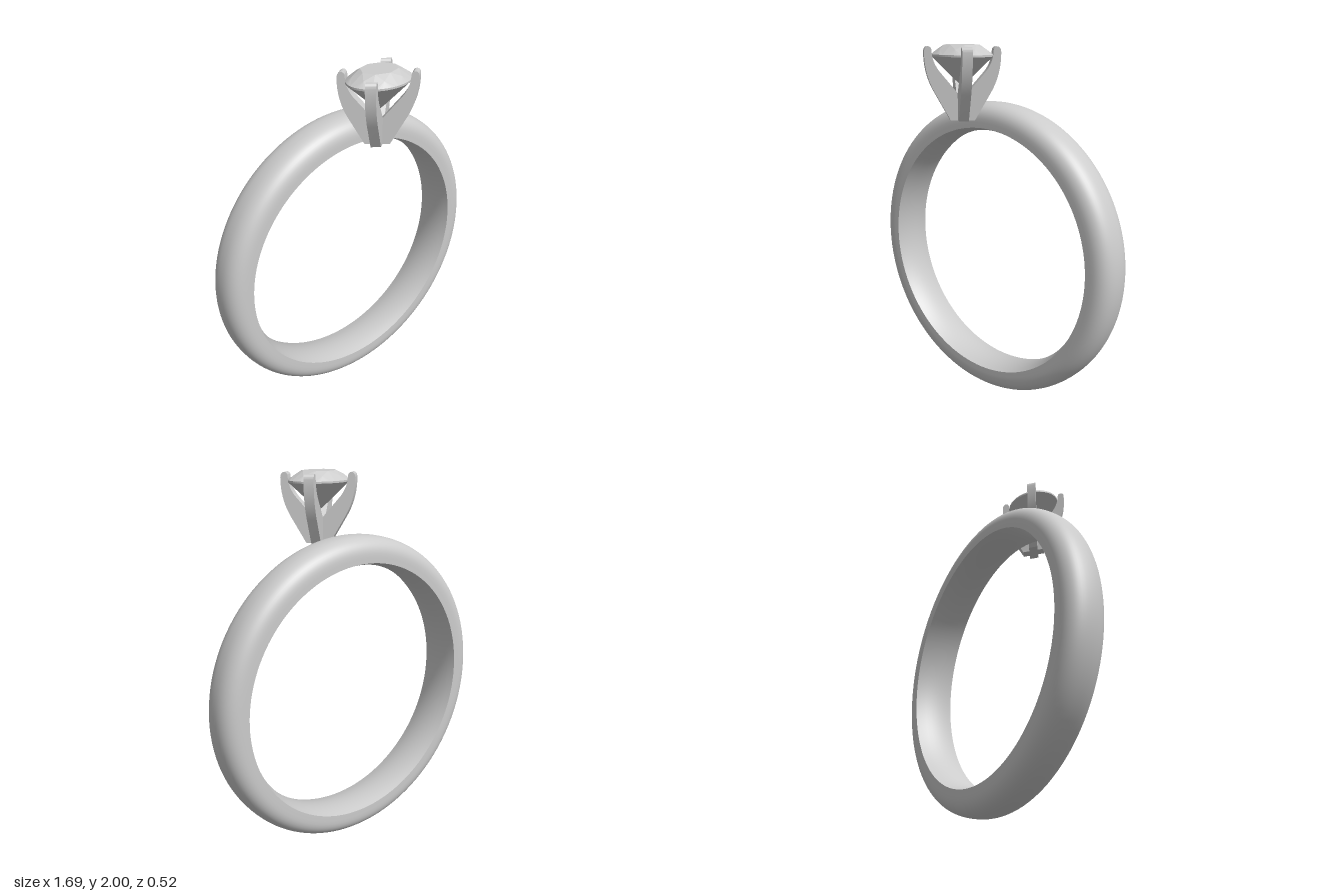
import * as THREE from 'three';
import { toCreasedNormals } from 'three/addons/utils/BufferGeometryUtils.js';

const grey = new THREE.MeshStandardMaterial({ color: 0xcccccc });
const facet = new THREE.MeshStandardMaterial({ color: 0xcccccc, flatShading: true });

function named(name, geometry, material = grey) {
  const mesh = new THREE.Mesh(geometry, material);
  mesh.name = name;
  return mesh;
}

// Band: domed outside, sharp edges at the bore, slightly convex inside
function bandGeometry() {
  const half = 0.116, profile = [new THREE.Vector2(0.71, -half)];
  const soft = v => Math.sign(v) * Math.pow(Math.abs(v), 0.82);
  for (let i = 0; i <= 24; i++) {
    const t = Math.PI * i / 24;
    profile.push(new THREE.Vector2(0.74 + 0.105 * soft(Math.sin(t)), -half * soft(Math.cos(t))));
  }
  for (let i = 0; i <= 8; i++) {
    const s = 1 - i / 4;
    profile.push(new THREE.Vector2(0.688 + 0.022 * s * s, half * s));
  }
  const geo = new THREE.LatheGeometry(profile, 128).rotateX(Math.PI / 2);
  return toCreasedNormals(geo, Math.PI / 6);
}

// Prong: curved flat bar, drawn as radius against height
function prongGeometry() {
  const shape = new THREE.Shape();
  shape.moveTo(0, 1.615);
  shape.lineTo(0.055, 1.615);
  shape.lineTo(0.125, 1.755);
  shape.bezierCurveTo(0.15, 1.805, 0.172, 1.87, 0.172, 1.96);
  shape.quadraticCurveTo(0.172, 1.99, 0.155, 1.992);
  shape.quadraticCurveTo(0.14, 1.992, 0.138, 1.97);
  shape.bezierCurveTo(0.138, 1.92, 0.115, 1.88, 0.1, 1.86);
  shape.lineTo(0.0225, 1.756);
  shape.lineTo(0, 1.73);
  const width = 0.045;
  const geo = new THREE.ExtrudeGeometry(shape, { depth: width, bevelEnabled: false, curveSegments: 10 });
  return toCreasedNormals(geo.translate(0, 0, -width / 2), Math.PI / 6);
}

// Brilliant cut with eightfold symmetry
function gemGeometry() {
  const R = 0.138, pos = [], step = Math.PI / 4, n = 4;
  const at = (k, r, y) => [r * Math.sin(k * step), y, r * Math.cos(k * step)];
  const tri = (a, b, c) => pos.push(...a, ...b, ...c);
  const table = k => at(k, 0.08, 2);
  const crown = k => at(k, 0.112, 1.977);
  const top = k => at(k, R, 1.952);
  const low = k => at(k, R, 1.942);
  const pavilion = k => at(k, 0.035, 1.825);
  const culet = [0, 1.79, 0];
  for (let k = 0; k < 8; k++) {
    const m = k + 0.5;
    tri(table(k), table(k + 1), [0, 2, 0]);
    tri(crown(m), table(k + 1), table(k));
    // Kite facets
    tri(top(k), crown(m), table(k));
    tri(top(k), table(k), crown(k - 0.5));
    tri(culet, pavilion(m), low(k));
    tri(culet, low(k), pavilion(k - 0.5));
    // Girdle and the facets beside it
    for (let i = 0; i < 2 * n; i++) {
      const a = k + i / (2 * n), b = k + (i + 1) / (2 * n);
      tri(top(a), top(b), crown(m));
      tri(low(a), low(b), top(b));
      tri(low(a), top(b), top(a));
      tri(low(b), low(a), pavilion(m));
    }
  }
  const geo = new THREE.BufferGeometry();
  geo.setAttribute('position', new THREE.Float32BufferAttribute(pos, 3));
  geo.computeVertexNormals();
  return geo;
}

export function createModel() {
  const model = new THREE.Group();
  model.name = 'ring';

  const band = named('band', bandGeometry());
  band.position.set(0, 0.845, -0.147);
  model.add(band);

  // Oval setting: round parts stretched sideways
  const setting = new THREE.Group();
  setting.name = 'setting';
  setting.position.z = 0.12;
  setting.scale.x = 1.29;
  const prong = prongGeometry();
  for (let i = 0; i < 4; i++) {
    const mesh = named('prong', prong);
    mesh.rotation.y = Math.PI / 4 + i * Math.PI / 2;
    setting.add(mesh);
  }
  setting.add(named('gemstone', gemGeometry(), facet));
  model.add(setting);
  return model;
}
